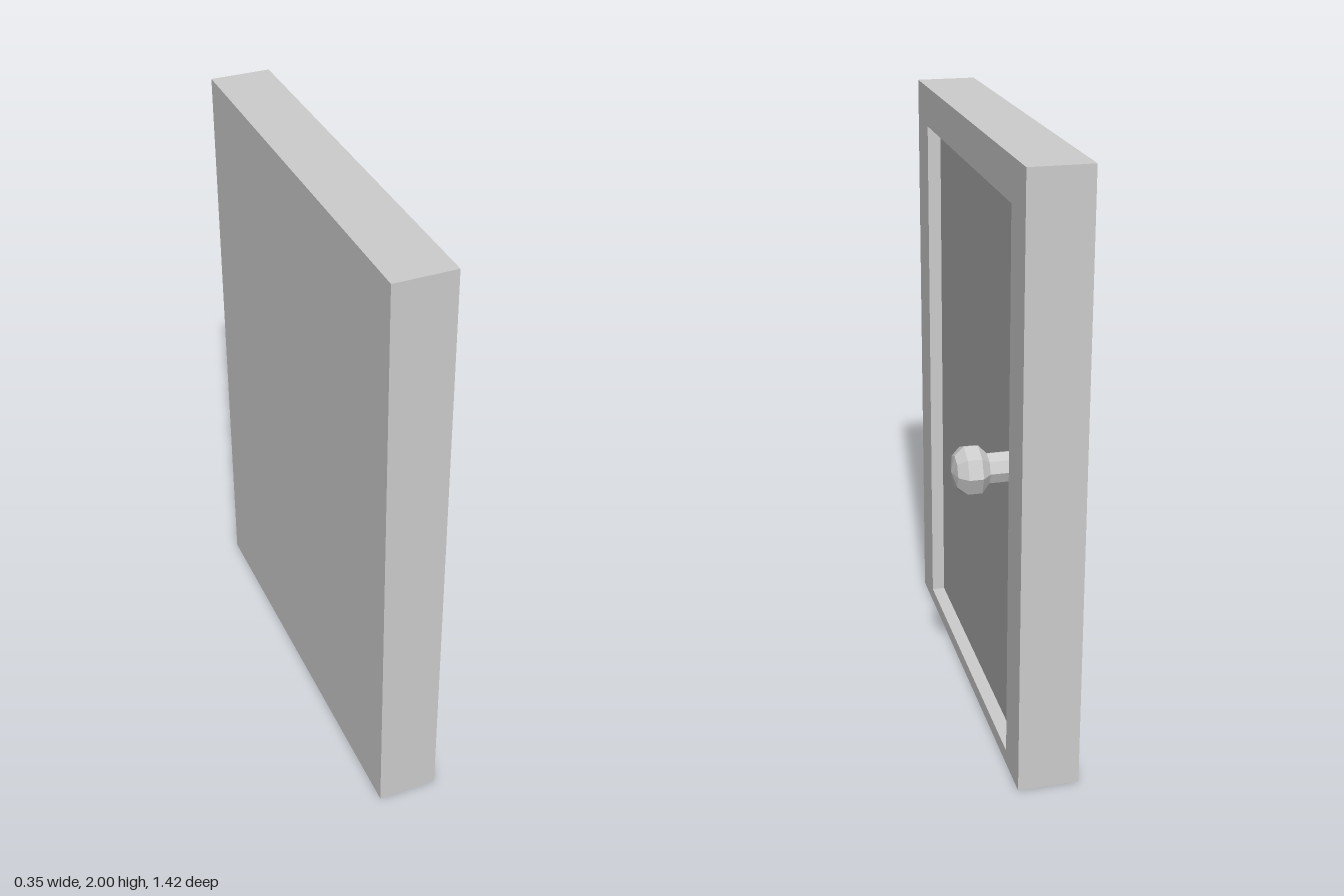
import * as THREE from 'three';
import { mergeGeometries } from 'three/addons/utils/BufferGeometryUtils.js';

const BACK = -0.175, FRONT = 0.025, RECESS = -0.02; // depths along x
const HEIGHT = 2, WIDTH = 1.42;
const OPEN = { width: 1.12, bottom: 0.05, top: 1.865 };

const grey = (color = 0xcccccc) => new THREE.MeshStandardMaterial({ color, flatShading: true });

function rectangle(PathType, width, bottom, top) {
  const w = width / 2;
  return new PathType([[-w, bottom], [w, bottom], [w, top], [-w, top]]
    .map(([x, y]) => new THREE.Vector2(x, y)));
}

// Solid slab with a shallow recess sunk into its +x face
function createFrameGeometry() {
  // Outer box without its +x face
  const shell = new THREE.BoxGeometry(FRONT - BACK, HEIGHT, WIDTH);
  shell.setIndex(Array.from(shell.index.array).slice(6));
  shell.translate((FRONT + BACK) / 2, HEIGHT / 2, 0);

  // Front border around the opening
  const shape = rectangle(THREE.Shape, WIDTH, 0, HEIGHT);
  shape.holes.push(rectangle(THREE.Path, OPEN.width, OPEN.bottom, OPEN.top));
  const border = new THREE.ShapeGeometry(shape);
  border.rotateY(Math.PI / 2).translate(FRONT, 0, 0);

  // Four recess walls, facing inward
  const walls = new THREE.BoxGeometry(FRONT - RECESS, OPEN.top - OPEN.bottom, OPEN.width);
  walls.setIndex(Array.from(walls.index.array).slice(12).reverse());
  walls.translate((FRONT + RECESS) / 2, (OPEN.top + OPEN.bottom) / 2, 0);

  const merged = mergeGeometries([shell, border, walls].map((g) => g.toNonIndexed()));
  merged.computeVertexNormals();
  return merged;
}

export function createModel() {
  const model = new THREE.Group();
  model.name = 'door';

  const add = (name, geometry, material) => {
    const mesh = new THREE.Mesh(geometry, material);
    mesh.name = name;
    model.add(mesh);
    return mesh;
  };

  add('frame', createFrameGeometry(), grey());

  // Darker door leaf at the bottom of the recess
  const panel = new THREE.PlaneGeometry(OPEN.width, OPEN.top - OPEN.bottom);
  panel.rotateY(Math.PI / 2);
  add('doorPanel', panel, grey(0xaaaaaa))
    .position.set(RECESS, (OPEN.top + OPEN.bottom) / 2, 0);

  // Eight-sided knob with its stem, turned about x
  const profile = [
    [0.05, RECESS], [0.05, 0.06], [0.08, 0.088], [0.08, 0.133], [0.053, 0.162], [0, 0.173],
  ].map(([r, x]) => new THREE.Vector2(r, x));
  const knob = new THREE.LatheGeometry(profile, 8);
  knob.rotateZ(-Math.PI / 2);
  add('doorKnob', knob, grey()).position.set(0, 1, -0.428);

  return model;
}
